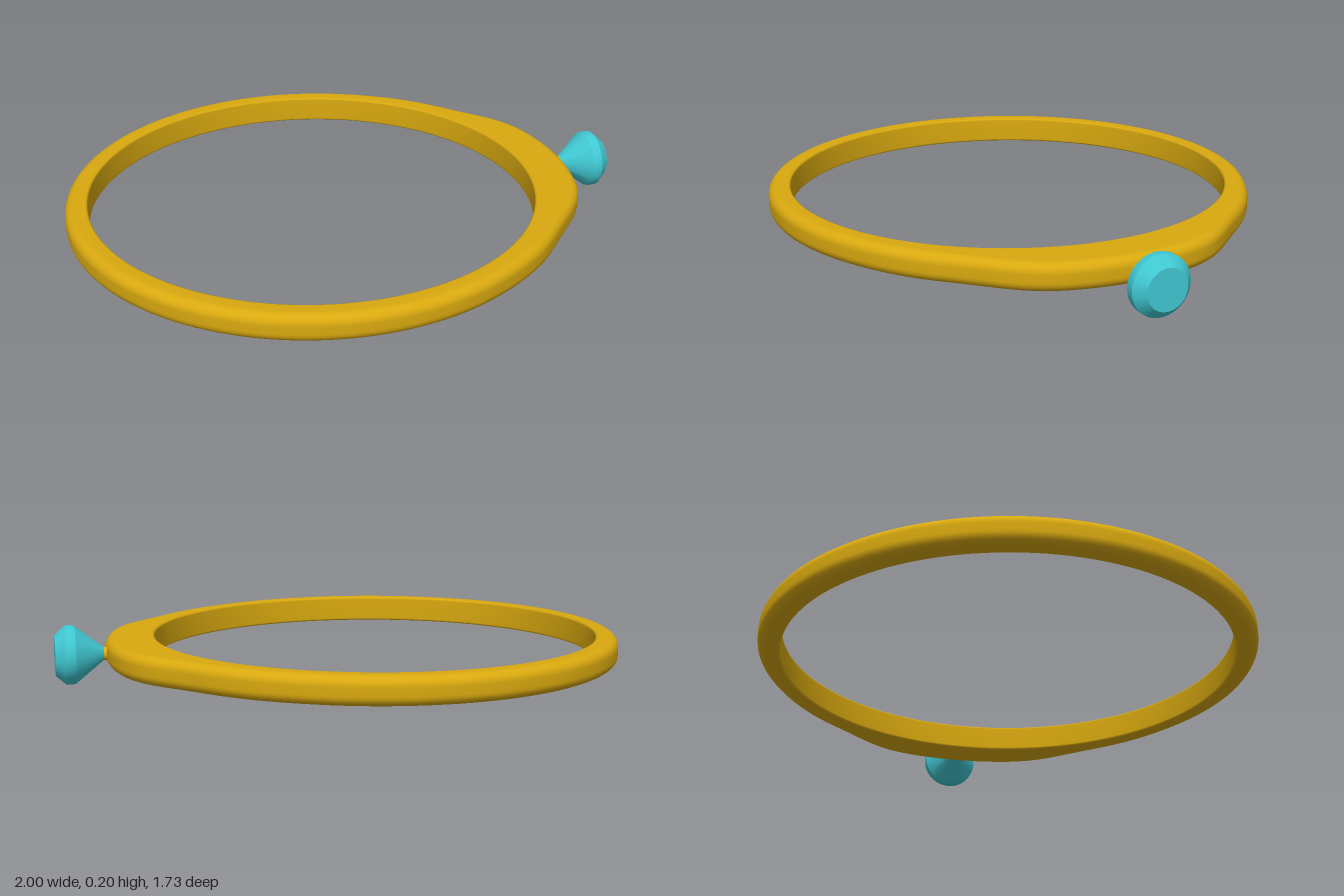
import * as THREE from 'three';
import { toCreasedNormals } from 'three/addons/utils/BufferGeometryUtils.js';

const CX = -0.132, CY = 0.104, INNER = 0.787, HALF = 0.048;

// Outer radius every 5 degrees away from the setting, easing into the plain band
const shoulder = new THREE.SplineCurve(
  [0.957, 0.957, 0.956, 0.953, 0.942, 0.922, 0.901, 0.888, 0.882, 0.878, 0.874, 0.870, 0.867, 0.866]
    .map((r, i) => new THREE.Vector2(i * 5, r)));
const outerRadius = (deg) => (deg >= 65 ? 0.866 : shoulder.getPoint(deg / 65).y);

// Rounded rectangular cross-section: crisp inner corners, softer outer corners
function section(outer) {
  const pts = [];
  const corner = (x, y, r, start, steps) => {
    for (let i = 0; i <= steps; i++) {
      const a = start + (i / steps) * Math.PI / 2;
      pts.push([x + r * Math.cos(a), y + r * Math.sin(a)]);
    }
  };
  const ri = 0.008, ro = 0.034;
  corner(INNER + ri, -HALF + ri, ri, Math.PI, 2);
  corner(outer - ro, -HALF + ro, ro, -Math.PI / 2, 6);
  corner(outer - ro, HALF - ro, ro, 0, 6);
  corner(INNER + ri, HALF - ri, ri, Math.PI / 2, 2);
  return pts;
}

function bandGeometry(steps = 180) {
  const positions = [], indices = [];
  let n = 0;
  for (let i = 0; i < steps; i++) {
    const deg = (i / steps) * 360, a = THREE.MathUtils.degToRad(deg);
    const pts = section(outerRadius(Math.min(deg, 360 - deg)));
    n = pts.length;
    for (const [r, y] of pts) positions.push(r * Math.cos(a), y, r * Math.sin(a));
  }
  for (let i = 0; i < steps; i++) {
    for (let j = 0; j < n; j++) {
      const k = (j + 1) % n, next = (i + 1) % steps;
      const a = i * n + j, b = i * n + k, c = next * n + j, d = next * n + k;
      indices.push(a, b, c, b, d, c);
    }
  }
  const g = new THREE.BufferGeometry();
  g.setAttribute('position', new THREE.Float32BufferAttribute(positions, 3));
  g.setIndex(indices);
  g.computeVertexNormals();
  return g;
}

export function createModel() {
  const group = new THREE.Group();
  const gold = new THREE.MeshStandardMaterial({ color: 0xd9a90f });
  const teal = new THREE.MeshStandardMaterial({ color: 0x40c8d2 });
  const add = (name, geometry, material, x) => {
    const mesh = new THREE.Mesh(geometry, material);
    mesh.name = name;
    mesh.position.set(x, CY, 0);
    group.add(mesh);
    return mesh;
  };

  // Band with thickened shoulders at the setting
  add('band', bandGeometry(), gold, CX);

  // Short post holding the gem
  add('settingPost', new THREE.CylinderGeometry(0.02, 0.028, 0.05, 32), gold, 0.825)
    .rotation.z = -Math.PI / 2;

  // Round gem: pavilion cone, girdle, crown and flat table, pointing along +x
  const profile = [[0, 0], [0.02, 0], [0.1, 0.1], [0.102, 0.108], [0.102, 0.132], [0.07, 0.168], [0, 0.168]]
    .map(([r, h]) => new THREE.Vector2(r, h));
  const gem = toCreasedNormals(new THREE.LatheGeometry(profile, 48), 0.4);
  add('gem', gem, teal, 0.832).rotation.z = -Math.PI / 2;

  return group;
}
